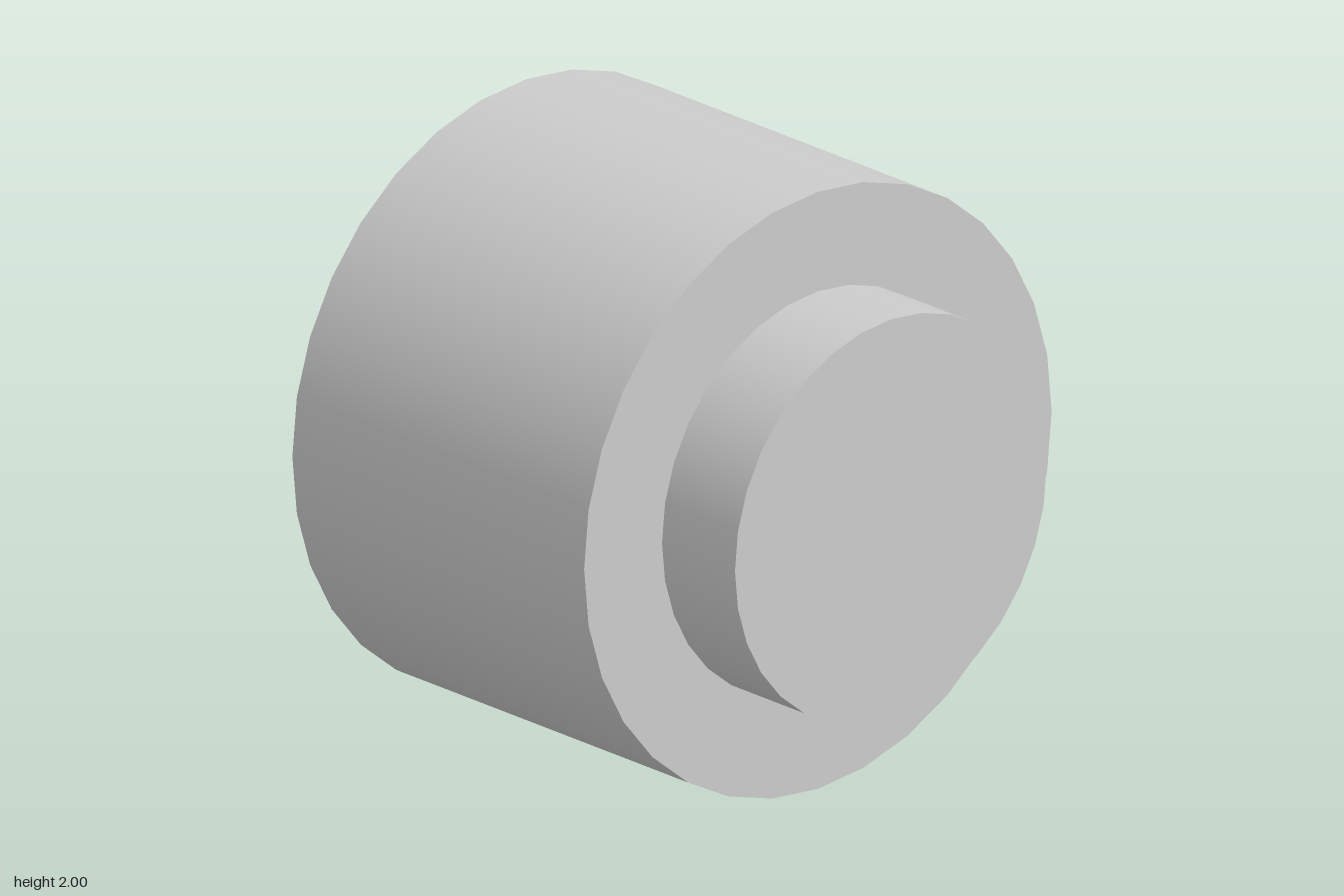
import * as THREE from 'three';

const SIDES = 32;

// Solid disc lying along z, from zBack to zFront, centred at height 1
function disc(name, radius, zBack, zFront, material) {
  const geometry = new THREE.CylinderGeometry(radius, radius, zFront - zBack, SIDES);
  geometry.rotateX(Math.PI / 2);
  const mesh = new THREE.Mesh(geometry, material);
  mesh.name = name;
  mesh.position.set(0, 1, (zBack + zFront) / 2);
  return mesh;
}

export function createModel() {
  const group = new THREE.Group();
  group.name = 'steppedCylinder';
  const grey = new THREE.MeshStandardMaterial({ color: 0xcccccc });

  // Wide drum at the back, narrower boss on its front face
  group.add(disc('mainDrum', 1, -0.8333, 0.5, grey));
  group.add(disc('frontBoss', 0.6667, 0.5, 0.8333, grey));
  return group;
}
